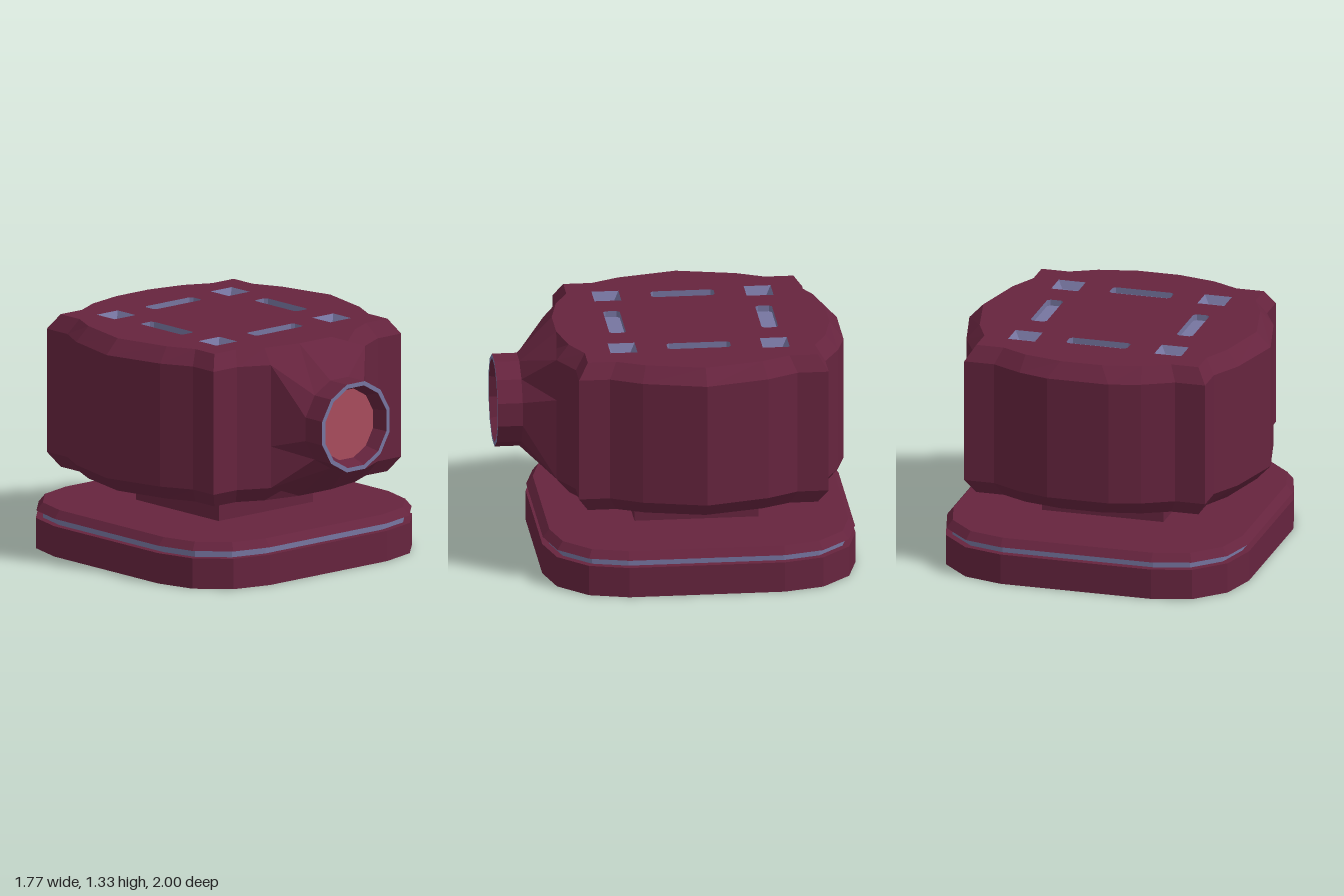
import * as THREE from 'three';

const ZC = -0.115; // centre of the base and head along z

// Flat-shaded skin through matching rings, with optional end caps
function loft(rings, capStart, capEnd) {
  const pos = [];
  const tri = (a, b, c) => pos.push(...a, ...b, ...c);
  for (let k = 0; k + 1 < rings.length; k++) {
    const r0 = rings[k], r1 = rings[k + 1], n = r0.length;
    for (let i = 0; i < n; i++) {
      const j = (i + 1) % n;
      tri(r0[i], r0[j], r1[j]);
      tri(r0[i], r1[j], r1[i]);
    }
  }
  const cap = (r, flip) => {
    const c = [0, 1, 2].map((d) => r.reduce((s, p) => s + p[d], 0) / r.length);
    r.forEach((p, i) => {
      const q = r[(i + 1) % r.length];
      if (flip) tri(c, q, p); else tri(c, p, q);
    });
  };
  if (capStart) cap(rings[0], true);
  if (capEnd) cap(rings[rings.length - 1], false);
  const g = new THREE.BufferGeometry();
  g.setAttribute('position', new THREE.Float32BufferAttribute(pos, 3));
  g.computeVertexNormals();
  return g;
}

// Rounded rectangle outline, counter-clockwise, as [x, -z] pairs
function roundRect(hx, hy, r, seg, cx = 0, cy = 0) {
  const pts = [];
  [[1, 1], [-1, 1], [-1, -1], [1, -1]].forEach(([sx, sy], q) => {
    for (let i = 0; i <= (r > 0 ? seg : 0); i++) {
      const a = (q + i / seg) * Math.PI / 2;
      pts.push([cx + sx * (hx - r) + r * Math.cos(a), cy + sy * (hy - r) + r * Math.sin(a)]);
    }
  });
  return pts;
}

// Lay an outline flat at height y
const flat = (pts, y) => pts.map(([x, w]) => [x, y, ZC - w]);

// Bulged head outline from one quadrant; the front bulge is limited
function headOutline(quadrant, frontLimit) {
  const back = [...quadrant, ...[...quadrant].reverse().map(([x, w]) => [-x, w])];
  const front = back.slice(1, -1).map(([x, w]) => [-x, -Math.min(w, frontLimit)]);
  return [...back, ...front];
}

export function createModel() {
  const model = new THREE.Group();
  const material = (name, color) => {
    const m = new THREE.MeshStandardMaterial({ color });
    m.name = name;
    return m;
  };
  const wine = material('wine', 0x66243e);
  const slate = material('slate blue', 0x7675a0);
  const rose = material('rose', 0xa84c5d);
  const add = (name, geometry, mat) => {
    const mesh = new THREE.Mesh(geometry, mat);
    mesh.name = name;
    model.add(mesh);
    return mesh;
  };

  // Base plate, coloured band and bevelled lid
  const slab = (h, y) => flat(roundRect(h, h, h - 0.44, 3), y);
  add('base', loft([slab(0.885, 0), slab(0.885, 0.175)], true, true), wine);
  add('baseBand', loft([slab(0.845, 0.17), slab(0.845, 0.22)], true, true), slate);
  add('baseLid', loft([slab(0.882, 0.217), slab(0.845, 0.262)], true, true), wine);

  // Neck
  add('neck', new THREE.BoxGeometry(0.71, 0.22, 0.7), wine).position.set(0, 0.355, ZC + 0.005);

  // Head: bevelled walls with bulging sides
  const outer = headOutline([[0.882, 0], [0.795, 0.355], [0.705, 0.53], [0.705, 0.705],
    [0.53, 0.705], [0.355, 0.795], [0.18, 0.845]], 0.795);
  const inner = headOutline([[0.8, 0], [0.725, 0.33], [0.65, 0.49], [0.65, 0.65],
    [0.49, 0.65], [0.34, 0.725], [0.12, 0.772]], 0.772);
  add('head', loft([flat(inner, 0.445), flat(outer, 0.53), flat(outer, 1.24), flat(inner, 1.325)],
    true, false), wine);

  // Recesses in the top: square tapered pockets and long slots
  const recesses = [];
  for (const s of [-1, 1]) {
    for (const t of [-1, 1]) {
      const c = [s * 0.428, t * 0.43];
      recesses.push({ name: 'pocket', depth: 0.045,
        top: roundRect(0.079, 0.076, 0, 1, ...c), floor: roundRect(0.05, 0.05, 0, 1, ...c) });
    }
    const across = roundRect(0.179, 0.047, 0.016, 1, 0, s * 0.43);
    const along = roundRect(0.047, 0.179, 0.016, 1, s * 0.428, 0);
    for (const o of [across, along]) recesses.push({ name: 'slot', depth: 0.035, top: o, floor: o });
  }
  const toVec = (pts) => pts.map(([x, w]) => new THREE.Vector2(x, w));
  const lid = new THREE.Shape(toVec(inner));
  for (const r of recesses) {
    lid.holes.push(new THREE.Path(toVec(r.top)));
    add(r.name, loft([flat(r.top, 1.325), flat(r.floor, 1.325 - r.depth)], false, true), slate);
  }
  add('headTop', new THREE.ShapeGeometry(lid).rotateX(-Math.PI / 2), wine).position.set(0, 1.325, ZC);

  // Nozzle: twelve-sided tube flaring back into the head
  const YN = 0.885;
  const ring = (r, z) => Array.from({ length: 12 }, (_, i) => {
    const a = (i + 0.5) * Math.PI / 6;
    return [r * Math.cos(a), YN + r * Math.sin(a), z];
  });
  const flareQuarter = [[0.355, 0.115, 0.68], [0.355, 0.355, 0.68], [0.12, 0.44, 0.657]];
  const flareHalf = [...flareQuarter, ...[...flareQuarter].reverse().map(([x, y, z]) => [-x, y, z])];
  const flare = [...flareHalf, ...flareHalf.map(([x, y, z]) => [-x, -y, z])]
    .map(([x, y, z]) => [x, YN + y, z]);
  add('nozzle', loft([flare, ring(0.262, 0.86), ring(0.262, 1)], false, false), wine);
  add('nozzleRim', loft([ring(0.262, 1), ring(0.237, 1)], false, false), slate);
  add('nozzleBore', loft([ring(0.237, 1), ring(0.206, 0.92)], false, false), wine);
  add('nozzleLens', loft([ring(0.206, 0.92)], false, true), rose);

  return model;
}
